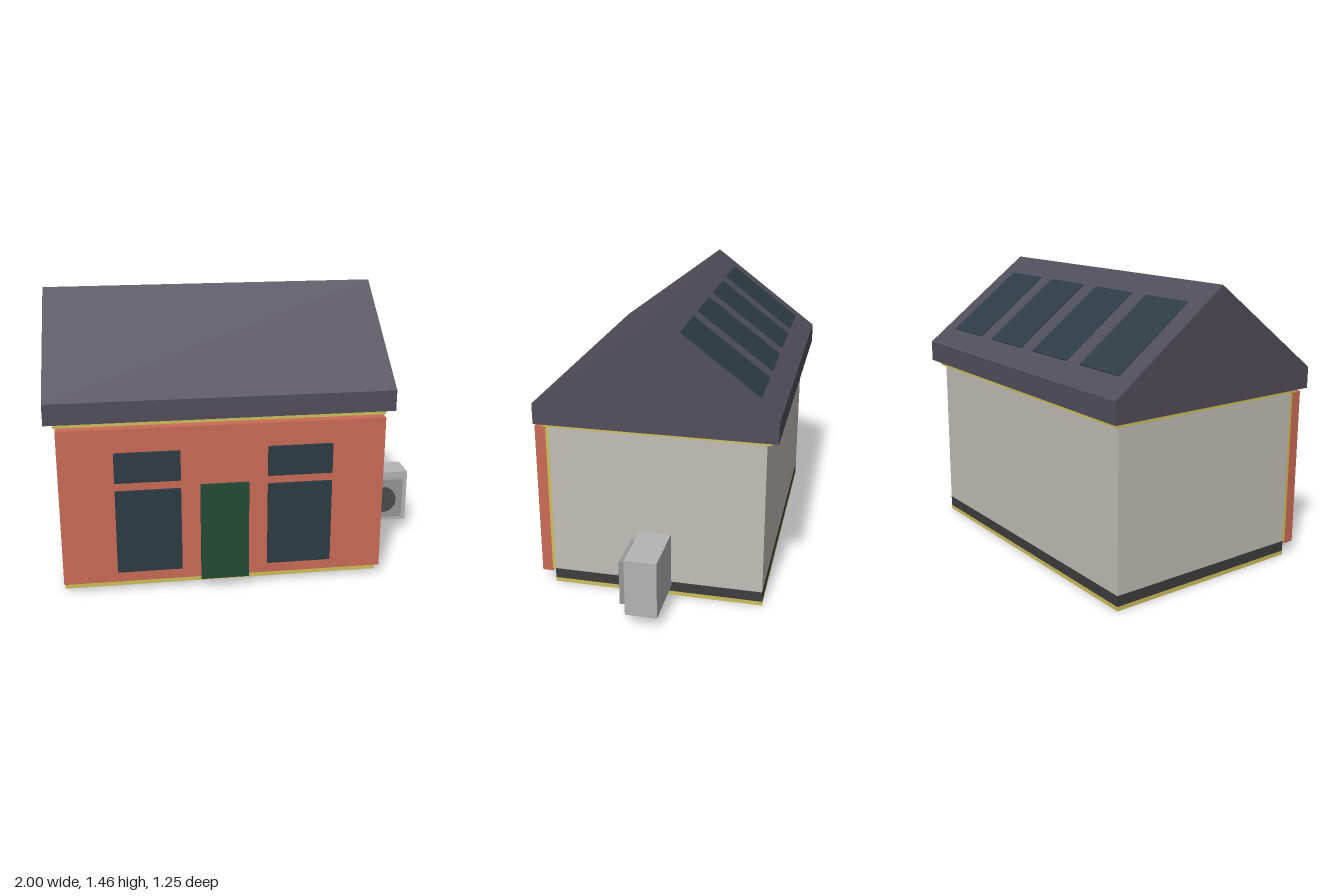
import * as THREE from 'three';

const mat = (color) => new THREE.MeshStandardMaterial({ color });

export function createModel() {
  const model = new THREE.Group();
  const brick = mat(0xcb6b55), plaster = mat(0xc2beb8), roofing = mat(0x514e5b), glass = mat(0x2d3c44);
  const green = mat(0x234a37), yellow = mat(0xcfc05c), dark = mat(0x3c3d3c);

  // Box from its min and max corners
  const box = (name, material, [x0, x1], [y0, y1], [z0, z1], parent = model) => {
    const mesh = new THREE.Mesh(new THREE.BoxGeometry(x1 - x0, y1 - y0, z1 - z0), material);
    mesh.position.set((x0 + x1) / 2, (y0 + y1) / 2, (z0 + z1) / 2);
    mesh.name = name;
    parent.add(mesh);
    return mesh;
  };

  // Floor slab, plinth and walls
  const wallX = [-0.945, 0.685], wallZ = [-0.565, 0.522];
  box('floorSlab', yellow, wallX, [0, 0.022], wallZ);
  box('plinth', dark, wallX, [0.022, 0.076], wallZ);
  box('walls', plaster, wallX, [0.076, 0.876], wallZ);
  box('ceilingSlab', yellow, [-0.957, 0.697], [0.876, 0.903], [-0.59, 0.545]);

  // Layered front facade
  box('facadeInsulation', yellow, wallX, [0.072, 0.864], [0.522, 0.538]);
  box('brickFacade', brick, wallX, [0.06, 0.875], [0.538, 0.593]);

  // Windows and door, set just clear of the facade
  const frontZ = [0.609, 0.626];
  for (const x of [-0.674, 0.086]) {
    box('upperWindow', glass, [x, x + 0.325], [0.607, 0.76], frontZ);
    box('lowerWindow', glass, [x, x + 0.325], [0.127, 0.562], frontZ);
  }
  box('door', green, [-0.253, -0.01], [0.06, 0.576], frontZ);

  // Gabled roof: profile drawn in (z, y), extruded along x
  const eaveY = 1.01, ridgeY = 1.461, ridgeZ = -0.022, backZ = -0.624, frontEdge = 0.58;
  const profile = new THREE.Shape([
    [-frontEdge, 0.903], [-backZ, 0.903], [-backZ, eaveY], [-ridgeZ, ridgeY], [-frontEdge, eaveY],
  ].map(([z, y]) => new THREE.Vector2(z, y)));
  const roofGeo = new THREE.ExtrudeGeometry(profile, { depth: 1.738, bevelEnabled: false });
  roofGeo.rotateY(Math.PI / 2).translate(-1, 0, 0);
  const roof = new THREE.Mesh(roofGeo, roofing);
  roof.name = 'roof';
  model.add(roof);

  // Roof panels along the back slope
  const slope = Math.atan2(ridgeY - eaveY, ridgeZ - backZ);
  const midZ = -0.327, midY = ridgeY - (ridgeZ - midZ) * Math.tan(slope);
  for (let i = 0; i < 4; i++) {
    const panel = new THREE.Mesh(new THREE.BoxGeometry(0.298, 0.008, 0.39 / Math.cos(slope)), glass);
    panel.position.set(-0.742 + i * 0.408, midY, midZ);
    panel.rotation.x = -slope;
    panel.name = 'roofPanel';
    model.add(panel);
  }

  // Outdoor heat pump beside the left wall
  const pump = new THREE.Group();
  pump.name = 'heatPump';
  box('pumpCase', mat(0xb4b4b4), [0.7, 1], [0.06, 0.357], [-0.102, 0.058], pump);
  box('pumpGrille', mat(0x969696), [0.732, 0.964], [0.094, 0.324], [0.058, 0.093], pump);
  const fan = new THREE.Mesh(new THREE.CylinderGeometry(0.075, 0.075, 0.017, 48), mat(0x4a4a4a));
  fan.rotation.x = Math.PI / 2;
  fan.position.set(0.848, 0.208, 0.1015);
  fan.name = 'pumpFan';
  pump.add(fan);
  model.add(pump);

  return model;
}
